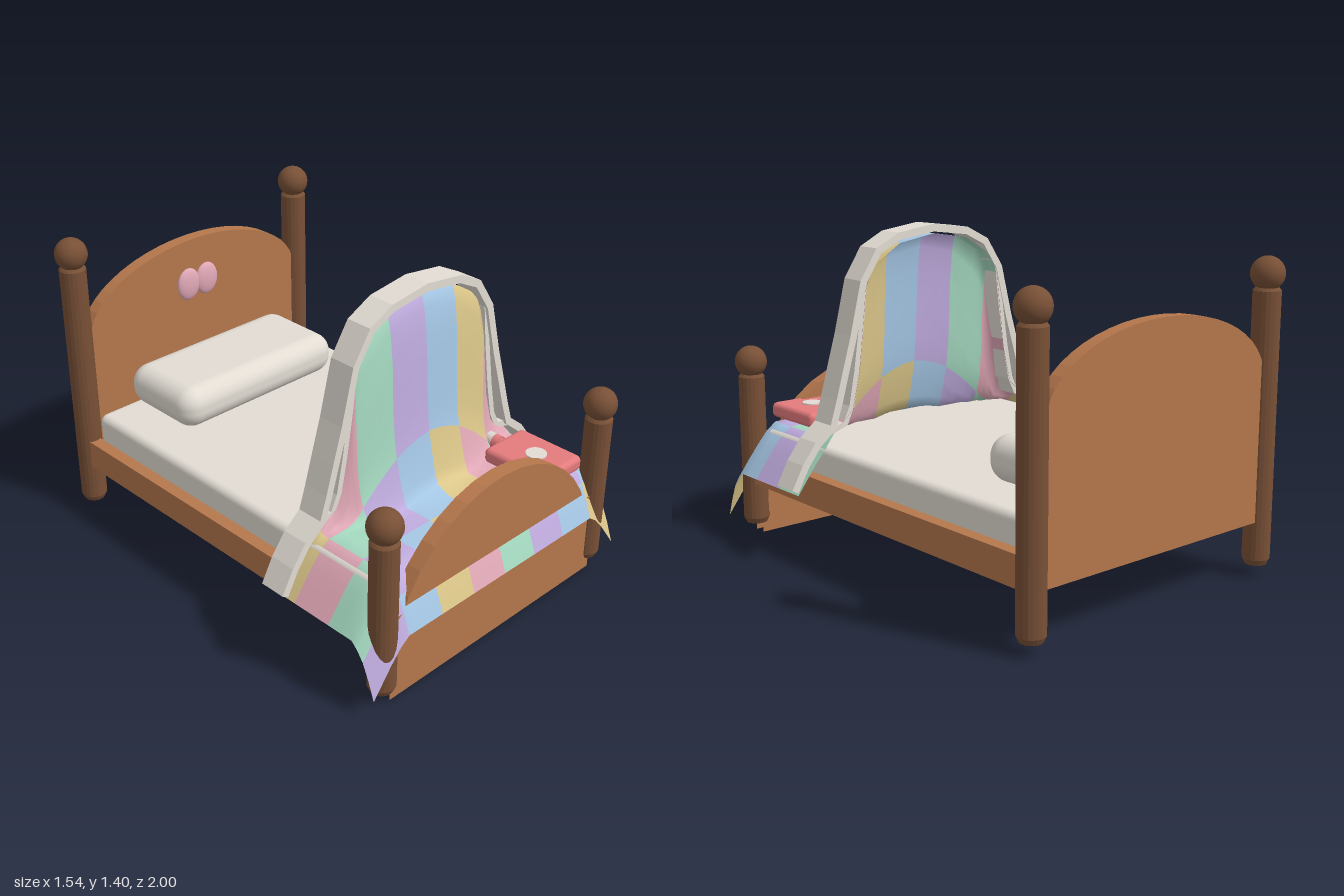
import * as THREE from 'three';
import { RoundedBoxGeometry } from 'three/addons/geometries/RoundedBoxGeometry.js';

const mat = (name, color, side = THREE.FrontSide) => {
  const m = new THREE.MeshStandardMaterial({ color, side });
  m.name = name;
  return m;
};

// Piecewise linear lookup in a list of [input, output] pairs
function lookup(table, t) {
  if (t <= table[0][0]) return table[0][1];
  for (let i = 1; i < table.length; i++) {
    const [a, p] = table[i - 1], [b, q] = table[i];
    if (t <= b) return p + (q - p) * (t - a) / (b - a);
  }
  return table[table.length - 1][1];
}

// Board with an elliptical top edge
function archBoard(halfWidth, bottom, shoulder, rise, depth, steps) {
  const s = new THREE.Shape();
  s.moveTo(-halfWidth, bottom);
  s.lineTo(halfWidth, bottom);
  for (let i = 0; i <= steps; i++) {
    const a = Math.PI * i / steps;
    s.lineTo(halfWidth * Math.cos(a), shoulder + rise * Math.sin(a));
  }
  return new THREE.ExtrudeGeometry(s, { depth, bevelEnabled: false });
}

// Flat band of constant thickness that follows a path of [x, y] points
function bandGeometry(path, thickness, depth) {
  const outer = [], inner = [];
  path.forEach(([x, y], i) => {
    const a = path[Math.max(i - 1, 0)], b = path[Math.min(i + 1, path.length - 1)];
    const n = new THREE.Vector2(-(b[1] - a[1]), b[0] - a[0]).normalize().multiplyScalar(thickness / 2);
    outer.push(new THREE.Vector2(x + n.x, y + n.y));
    inner.unshift(new THREE.Vector2(x - n.x, y - n.y));
  });
  return new THREE.ExtrudeGeometry(new THREE.Shape([...outer, ...inner]), { depth, bevelEnabled: false });
}

// Patchwork sheet: flat on the bed, falling at the edges, propped up into a hood
function quiltGeometry() {
  const patch = 0.185;
  const half = [0.06, 0.125, 0.185, 0.25, 0.3, 0.34, 0.37, 0.39, 0.41, 0.45, 0.5, 0.555, 0.6, 0.65, 0.7, 0.74];
  const xs = [...half.map(v => -v).reverse(), 0, ...half];
  const zs = [0.41, 0.46, 0.49, 0.51, 0.525, 0.535, 0.547, 0.56, 0.58, 0.6, 0.62, 0.68, 0.745, 0.81, 0.87, 0.9, 0.93, 0.96, 0.99];
  const sideDrop = [[0.56, 0], [0.62, 0.05], [0.74, 0.21]];
  const frontDrop = [[0.88, 0], [0.93, 0.07], [0.95, 0.11], [0.99, 0.22]];
  const hood = [[0, 0.845], [0.19, 0.815], [0.3, 0.745], [0.34, 0.7], [0.37, 0.63], [0.41, 0.29], [0.45, 0.12], [0.55, 0.03], [0.6, 0]];
  const slope = [[0.5, 1], [0.53, 0.77], [0.545, 0.47], [0.56, 0.3], [0.6, 0.09], [0.63, 0]];
  const pos = [], index = [], groups = [];
  for (const z of zs) for (const x of xs) {
    const ax = Math.abs(x);
    const lean = z < 0.5 ? 1 : lookup(slope, z + 0.3 * ax * ax * Math.min(1, (z - 0.5) / 0.04));
    pos.push(x, 0.515 - lookup(sideDrop, ax) - lookup(frontDrop, z) + lookup(hood, ax) * lean, z);
  }
  const w = xs.length;
  for (let j = 0; j < zs.length - 1; j++) for (let i = 0; i < w - 1; i++) {
    const col = Math.floor(((xs[i] + xs[i + 1]) / 2 + 0.74) / patch);
    const row = Math.floor(((zs[j] + zs[j + 1]) / 2 - 0.56) / patch);
    const a = j * w + i, c = a + w;
    groups.push([index.length, (col + row + 5) % 5]);
    index.push(a, c, a + 1, a + 1, c, c + 1);
  }
  const g = new THREE.BufferGeometry();
  g.setAttribute('position', new THREE.Float32BufferAttribute(pos, 3));
  g.setIndex(index);
  groups.forEach(([start, m]) => g.addGroup(start, 6, m));
  g.computeVertexNormals();
  return g;
}

export function createModel() {
  const bed = new THREE.Group();
  bed.name = 'bed';
  const wood = mat('wood', 0xb5774c, THREE.DoubleSide);
  const darkWood = mat('darkWood', 0x785036);
  const linen = mat('linen', 0xe2dcd3);
  const red = mat('rubberRed', 0xe47b7d);
  const patches = [['pink', 0xe2a9b8], ['green', 0xa5d9c0], ['lilac', 0xc0acdf], ['blue', 0xa5c7e5], ['yellow', 0xdcc78a]]
    .map(([n, c]) => mat(n, c, THREE.DoubleSide));

  const add = (name, geometry, material, x = 0, y = 0, z = 0) => {
    const m = new THREE.Mesh(geometry, material);
    m.name = name;
    m.position.set(x, y, z);
    bed.add(m);
    return m;
  };

  // Posts with ball finials
  for (const sx of [-1, 1]) for (const [label, z, top] of [['front', 0.928, 0.738], ['back', -0.926, 1.208]]) {
    const profile = [[0, 0.05], [0.046, 0.05], [0.058, 0.075], [0.058, top - 0.012], [0.048, top], [0, top]];
    const post = new THREE.LatheGeometry(profile.map(p => new THREE.Vector2(...p)), 20).toNonIndexed();
    post.computeVertexNormals();
    add(label + 'Post', post, darkWood, sx * 0.635, 0, z);
    add(label + 'Finial', new THREE.SphereGeometry(0.071, 20, 14), darkWood, sx * 0.635, top + 0.055, z);
  }

  // Frame
  for (const sx of [-1, 1]) add('sideRail', new THREE.BoxGeometry(0.055, 0.13, 1.8), wood, sx * 0.637, 0.305, 0);
  add('headboard', archBoard(0.6, 0.24, 0.85, 0.31, 0.06, 24), wood, 0, 0, -0.954);
  add('footboard', archBoard(0.603, 0.1, 0.132, 0.603, 0.065, 18), wood, 0, 0, 0.885);
  for (const z of [0.9, 0.957]) add('footPanel', new THREE.PlaneGeometry(1.24, 0.38), wood, 0, 0.19, z);

  // Bedding
  add('mattressBase', new THREE.BoxGeometry(1.22, 0.05, 1.8), linen, 0, 0.27, 0);
  add('mattress', new RoundedBoxGeometry(1.22, 0.21, 1.75, 4, 0.035), linen, 0, 0.388, 0);
  add('pillow', new RoundedBoxGeometry(0.89, 0.19, 0.44, 6, 0.085), linen, -0.003, 0.595, -0.648);
  add('quilt', quiltGeometry(), patches);

  // Folded quilt border, as a wide outer band and slimmer inner strands
  const side = [[0.19, 1.36], [0.3, 1.305], [0.382, 1.18], [0.44, 0.95], [0.485, 0.8], [0.52, 0.68],
    [0.555, 0.575], [0.635, 0.51], [0.7, 0.425], [0.755, 0.325]];
  const mirror = path => path.map(([x, y]) => [-x, y]).reverse();
  add('quiltBorder', bandGeometry([...mirror(side), [0, 1.385], ...side], 0.034, 0.118), linen, 0, 0, 0.408);
  const strand = [[0.375, 1.18], [0.395, 1.0], [0.425, 0.8], [0.455, 0.65], [0.49, 0.578], [0.57, 0.555]];
  for (const path of [strand, mirror(strand)]) add('innerBorder', bandGeometry(path, 0.026, 0.1), linen, 0, 0, 0.412);

  // Hot water bottle
  add('bottleBody', new RoundedBoxGeometry(0.25, 0.068, 0.325, 4, 0.024), red, 0.41, 0.556, 0.775);
  add('bottleNeck', new THREE.CylinderGeometry(0.026, 0.026, 0.07, 16), red, 0.407, 0.555, 0.6).rotation.x = Math.PI / 2;
  add('bottleCollar', new THREE.CylinderGeometry(0.034, 0.034, 0.03, 16), red, 0.407, 0.555, 0.59).rotation.x = Math.PI / 2;
  add('bottleStopper', new THREE.CylinderGeometry(0.03, 0.03, 0.03, 16), linen, 0.407, 0.56, 0.557).rotation.x = Math.PI / 2;
  add('bottleButton', new THREE.CylinderGeometry(0.045, 0.045, 0.008, 20), linen, 0.405, 0.592, 0.795);

  // Bow on the headboard
  for (const sx of [-1, 1]) {
    const lobe = add('bowLobe', new THREE.SphereGeometry(1, 18, 12), patches[0], sx * 0.052 - 0.003, 0.955, -0.882);
    lobe.scale.set(0.062, 0.077, 0.022);
  }
  return bed;
}
